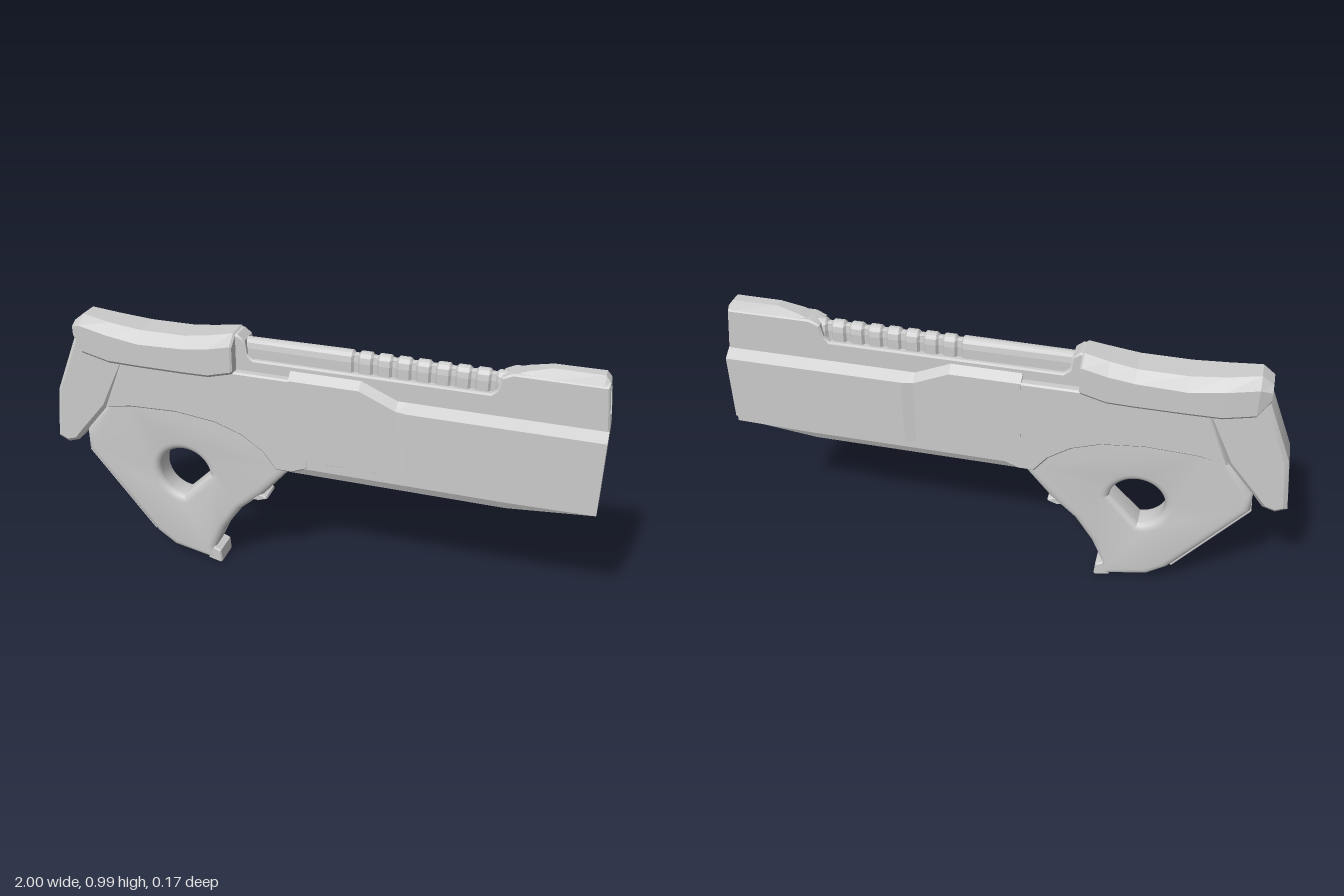
import * as THREE from 'three';
import { toCreasedNormals } from 'three/addons/utils/BufferGeometryUtils.js';

const material = new THREE.MeshStandardMaterial({ color: 0xcccccc });

// Side outline extruded across z; the bevel stays inside the outline.
function slab(points, halfWidth, bevel = 0.006, depth = bevel, segments = 1, hole = null) {
  const shape = new THREE.Shape(points.map(([x, y]) => new THREE.Vector2(x, y)));
  if (hole) shape.holes.push(hole);
  const geo = new THREE.ExtrudeGeometry(shape, {
    depth: 2 * (halfWidth - depth), bevelEnabled: true, bevelSize: bevel, bevelThickness: depth,
    bevelOffset: -bevel, bevelSegments: segments, curveSegments: 32,
  });
  geo.translate(0, 0, depth - halfWidth);
  return toCreasedNormals(geo, 0.6);
}

// Skin over mirrored cross-sections along x; each is [x, [[y, z], ...]] from bottom to top.
function loft(sections) {
  const rings = sections.map(([x, half]) => [
    ...half.map(([y, z]) => [x, y, z]),
    ...half.map(([y, z]) => [x, y, -z]).reverse(),
  ]);
  const pos = [];
  const tri = (a, b, c) => pos.push(...a, ...b, ...c);
  const n = rings[0].length;
  const middle = (ring) => [0, 1, 2].map((k) => ring.reduce((s, p) => s + p[k], 0) / n);
  const first = rings[0], last = rings[rings.length - 1];
  const c0 = middle(first), c1 = middle(last);
  for (let i = 0; i < n; i++) {
    const j = (i + 1) % n;
    for (let s = 0; s + 1 < rings.length; s++) {
      const a = rings[s], b = rings[s + 1];
      tri(a[i], b[i], b[j]);
      tri(a[i], b[j], a[j]);
    }
    tri(c0, first[i], first[j]);
    tri(c1, last[j], last[i]);
  }
  const geo = new THREE.BufferGeometry();
  geo.setAttribute('position', new THREE.Float32BufferAttribute(pos, 3));
  geo.computeVertexNormals();
  return geo;
}

export function createModel() {
  const model = new THREE.Group();
  const add = (name, geometry) => {
    const mesh = new THREE.Mesh(geometry, material);
    mesh.name = name;
    model.add(mesh);
    return mesh;
  };

  // Long receiver, wider and lower-shouldered towards the muzzle
  const body = (x, bottom, w, shoulder) => [x, [
    [bottom, 0.053], [Math.max(0.498, bottom + 0.004), 0.067], [0.53, 0.067], [0.532, w],
    [shoulder, w], [shoulder + 0.026, 0.04],
  ]];
  add('receiver', loft([
    body(-0.07, 0.468, 0.07, 0.838), body(0.18, 0.468, 0.07, 0.838), body(0.31, 0.468, 0.071, 0.782),
    body(0.35, 0.468, 0.078, 0.782), body(0.7, 0.468, 0.078, 0.782), body(1, 0.5, 0.078, 0.782),
  ]));

  // Rear frame with the arched lower edge over the grip
  add('rearFrame', slab([
    [-0.69, 0.84], [-0.78, 0.62], [-0.68, 0.64], [-0.5, 0.647], [-0.35, 0.63], [-0.25, 0.595],
    [-0.17, 0.54], [-0.12, 0.475], [-0.06, 0.475], [0, 0.5], [0, 0.84],
  ], 0.0695));

  // Grip with a flared opening that is flattened on one side
  const hole = new THREE.Path();
  const half = Math.acos(0.063 / 0.1);
  hole.absarc(-0.488, 0.382, 0.1, -Math.PI / 4 + half, 2 * Math.PI - Math.PI / 4 - half, false);
  hole.closePath();
  add('grip', slab([
    [-0.88, 0.42], [-0.62, 0.095], [-0.55, 0.045], [-0.37, 0.01], [-0.38, 0.07], [-0.335, 0.17],
    [-0.27, 0.265], [-0.18, 0.345], [-0.07, 0.475], [-0.07, 0.7], [-0.74, 0.7], [-0.88, 0.5],
  ], 0.054, 0.03, 0.024, 4, hole));
  add('gripToe', slab([
    [-0.41, 0.018], [-0.36, 0.005], [-0.353, 0.012], [-0.357, 0.06], [-0.385, 0.072],
  ], 0.052, 0.005));
  add('trigger', slab([
    [-0.25, 0.32], [-0.2, 0.315], [-0.165, 0.327], [-0.168, 0.337], [-0.195, 0.348], [-0.2, 0.37], [-0.25, 0.37],
  ], 0.047, 0.005, 0.015, 2));

  // Rib along the sloping back of the grip
  const rib = add('gripBackRib', new THREE.BoxGeometry(0.4, 0.024, 0.06));
  rib.position.set(-0.75, 0.26, 0);
  rib.rotation.z = Math.atan2(-0.325, 0.26);

  // Butt piece hanging behind the frame
  add('butt', slab([
    [-0.86, 0.92], [-0.66, 0.86], [-0.69, 0.81], [-0.78, 0.62], [-0.88, 0.5], [-0.915, 0.455],
    [-0.96, 0.44], [-1, 0.46], [-0.975, 0.66], [-0.885, 0.88],
  ], 0.061, 0.014, 0.012));

  // Saddle-shaped cover on top of the rear
  const cover = (x, bottom, side, top, w, tw) => [x, [
    [bottom, w - 0.008], [bottom + 0.01, w], [side, w], [top, tw],
  ]];
  add('rearCover', loft([
    cover(-0.885, 0.885, 0.925, 0.94, 0.058, 0.03), cover(-0.845, 0.835, 0.942, 0.97, 0.08, 0.035),
    cover(-0.74, 0.812, 0.92, 0.955, 0.083, 0.045), cover(-0.62, 0.81, 0.902, 0.944, 0.083, 0.05),
    cover(-0.45, 0.81, 0.908, 0.945, 0.083, 0.05), cover(-0.36, 0.812, 0.92, 0.958, 0.083, 0.047),
    cover(-0.275, 0.835, 0.94, 0.974, 0.083, 0.04), cover(-0.268, 0.84, 0.935, 0.968, 0.079, 0.037),
  ]));

  // Top rail with a long recess between the cover and the sight block
  add('topRail', slab([
    [-0.29, 0.82], [0.18, 0.82], [0.31, 0.77], [1, 0.77], [1, 0.82], [0.982, 0.962], [0.68, 0.962],
    [0.645, 0.945], [0.635, 0.9], [0.615, 0.882], [-0.205, 0.882], [-0.228, 0.9], [-0.235, 0.95],
    [-0.26, 0.97], [-0.29, 0.97],
  ], 0.041));
  const sight = (x, base, top, w, tw) => [x, [[base, w], [top, tw]]];
  add('frontSight', loft([
    sight(0.66, 0.945, 0.95, 0.036, 0.03), sight(0.72, 0.955, 0.972, 0.037, 0.026),
    sight(0.8, 0.96, 0.992, 0.037, 0.018), sight(0.965, 0.96, 0.992, 0.037, 0.02),
    sight(0.981, 0.958, 0.972, 0.036, 0.025),
  ]));

  // Rounded barrel lying in the recess, with evenly spaced notches
  const barrel = (x, d) => [x, [
    [0.86, 0.027 - d], [0.918, 0.027 - d], [0.938, 0.023 - d], [0.95 - d, 0.014], [0.954 - d, 0.005],
  ]];
  const stations = [barrel(-0.25, 0.003)];
  for (let i = 0; i < 8; i++) {
    const x = 0.14 + i * 0.066;
    stations.push(barrel(x, 0), barrel(x + 0.008, 0.009), barrel(x + 0.022, 0.009), barrel(x + 0.03, 0));
  }
  stations.push(barrel(0.66, 0));
  add('notchedBarrel', loft(stations));

  // Slanted strip on the muzzle face
  const strip = add('muzzleStrip', new THREE.BoxGeometry(0.008, 0.09, 0.006));
  strip.position.set(0.988, 0.907, 0.013);
  strip.rotation.set(-0.2, 0, 0.13);

  return model;
}
